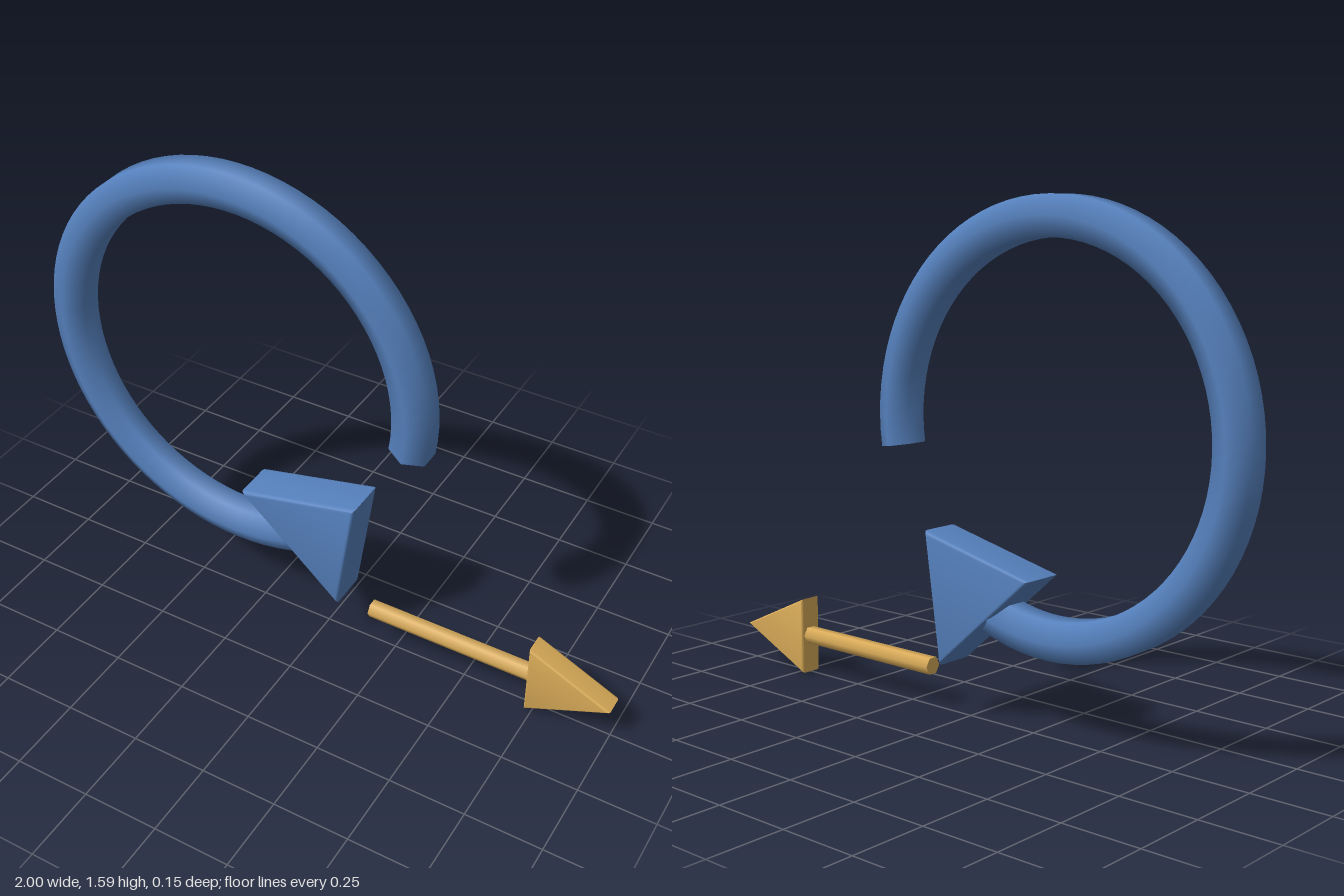
import * as THREE from 'three';
import { toCreasedNormals } from 'three/addons/utils/BufferGeometryUtils.js';

// Six-sided rod bent around the z axis; its length follows the angle
function bentRod(ringRadius, rodRadius, start, end) {
  const geo = new THREE.CylinderGeometry(rodRadius, rodRadius, 1, 6, 72);
  const pos = geo.attributes.position, nor = geo.attributes.normal;
  const axis = new THREE.Vector3(0, 0, 1), n = new THREE.Vector3();
  for (let i = 0; i < pos.count; i++) {
    const a = start + (end - start) * (pos.getY(i) + 0.5);
    const r = ringRadius + pos.getX(i);
    pos.setXY(i, r * Math.cos(a), r * Math.sin(a));
    n.fromBufferAttribute(nor, i).applyAxisAngle(axis, a);
    nor.setXYZ(i, n.x, n.y, n.z);
  }
  return geo;
}

// Triangular plate with softened edges, centred on z = 0
function triangleHead(corners, halfDepth, bevel) {
  const shape = new THREE.Shape(corners.map(([x, y]) => new THREE.Vector2(x, y)));
  const depth = 2 * (halfDepth - bevel);
  const geo = new THREE.ExtrudeGeometry(shape, {
    depth, bevelEnabled: true, bevelThickness: bevel, bevelSize: bevel,
    bevelOffset: -bevel, bevelSegments: 3
  });
  geo.translate(0, 0, -depth / 2);
  return toCreasedNormals(geo, 0.7);
}

export function createModel() {
  const model = new THREE.Group();
  model.name = 'arrows';
  const blue = new THREE.MeshStandardMaterial({ color: 0x5580bc });
  blue.name = 'blue';
  const gold = new THREE.MeshStandardMaterial({ color: 0xd9ab58 });
  gold.name = 'gold';

  const add = (parent, name, geo, mat) => {
    const mesh = new THREE.Mesh(geo, mat);
    mesh.name = name;
    parent.add(mesh);
    return mesh;
  };

  // Curved arrow
  const curved = new THREE.Group();
  curved.name = 'curvedArrow';
  const deg = Math.PI / 180;
  add(curved, 'curvedShaft', bentRod(0.614, 0.07, -9 * deg, 300 * deg), blue)
    .position.set(-0.325, 0.92, 0);
  add(curved, 'curvedArrowHead',
    triangleHead([[-0.285, 0.48], [0.07, 0.162], [0.13, 0.578]], 0.074, 0.016), blue);

  // Straight arrow
  const straight = new THREE.Group();
  straight.name = 'straightArrow';
  const shaft = new THREE.CylinderGeometry(0.03, 0.03, 0.575, 6);
  shaft.rotateZ(-Math.PI / 2);
  add(straight, 'straightShaft', shaft, gold).position.set(0.4475, 0.128, 0);
  add(straight, 'straightArrowHead',
    triangleHead([[0.724, 0], [1, 0.128], [0.724, 0.256]], 0.038, 0.008), gold);

  model.add(curved, straight);
  return model;
}
